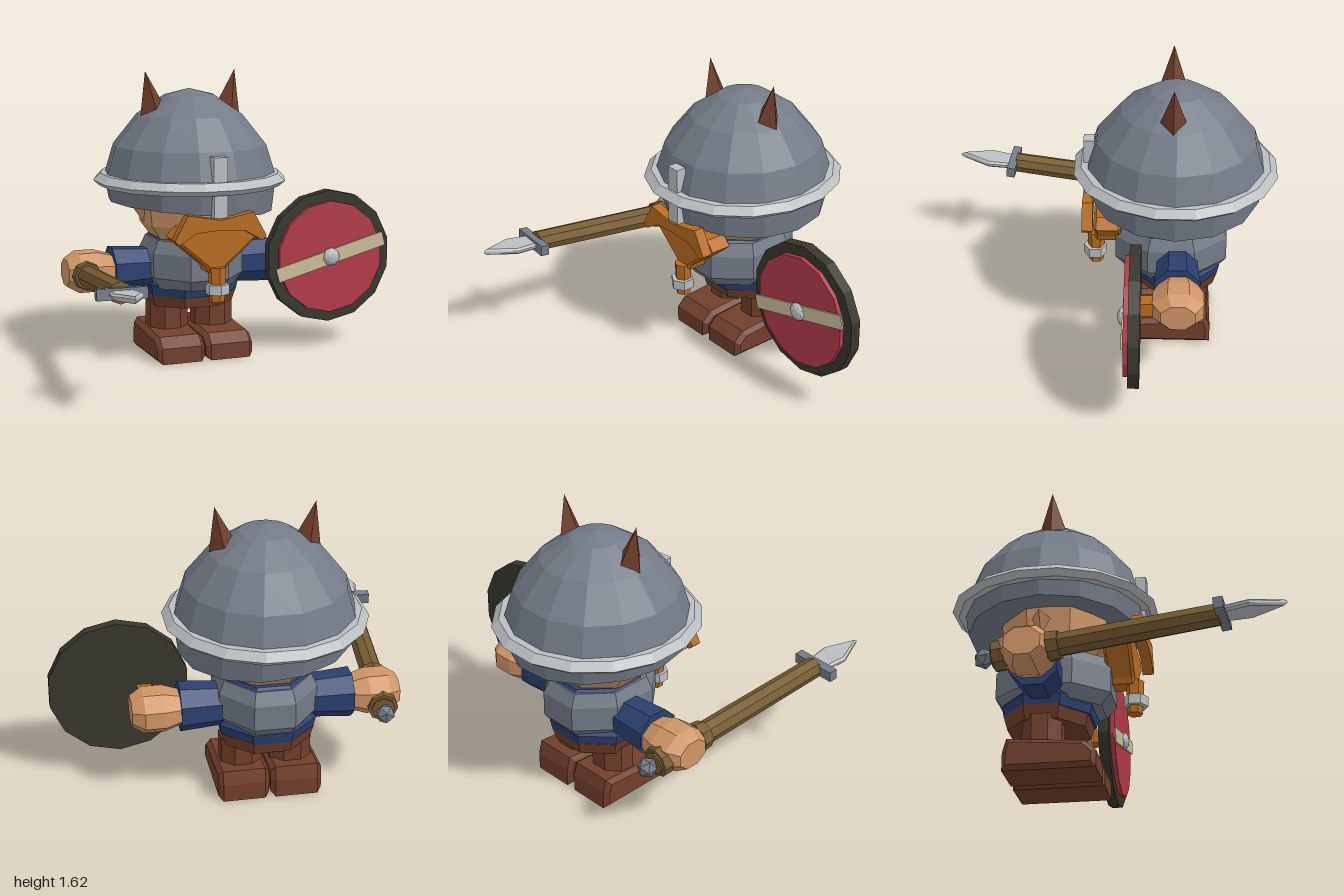
import * as THREE from 'three';

const mat = (name, color) => Object.assign(new THREE.MeshStandardMaterial({ color, flatShading: true }), { name });
const M = {
  skin: mat('skin', 0xcf9566), steel: mat('steel', 0x737b87), silver: mat('silver', 0xb9bec0),
  navy: mat('navy cloth', 0x2a4070), leather: mat('brown leather', 0x713f2b), orange: mat('orange hair', 0xb86c20),
  dark: mat('dark wood', 0x37372f), red: mat('red paint', 0xb23b49), wood: mat('wood', 0x775c32),
  cream: mat('cream paint', 0xcbbe99),
};

function add(parent, name, geometry, material, x = 0, y = 0, z = 0) {
  const m = new THREE.Mesh(geometry, material);
  m.name = name;
  m.position.set(x, y, z);
  parent.add(m);
  return m;
}

// Faceted solid of revolution; profile runs bottom to top as [radius, y]
function turned(profile, sides, sx = 1, sz = 1) {
  const g = new THREE.LatheGeometry(profile.map(p => new THREE.Vector2(...p)), sides, Math.PI / sides);
  return g.scale(sx, 1, sz);
}

// Flat outline extruded towards +z
function slab(points, depth, bevel = 0) {
  const shape = new THREE.Shape(points.map(p => new THREE.Vector2(...p)));
  return new THREE.ExtrudeGeometry(shape, {
    depth: depth - 2 * bevel, bevelEnabled: bevel > 0, bevelSegments: 1,
    bevelSize: bevel, bevelThickness: bevel, bevelOffset: -bevel,
  }).translate(0, 0, bevel);
}

// Mirror the right half of an outline across x = 0
const mirrored = half => [...half, ...half.filter(p => p[0] > 0).reverse().map(([x, y]) => [-x, y])];

function addHelmet(body) {
  const dome = turned([[0, 0.95], [0.44, 0.86], [0.465, 0.86], [0.49, 1.02], [0.435, 1.2], [0.3, 1.37],
    [0.14, 1.48], [0, 1.515]], 14, 1, 1.02);
  // the lower edge hangs lower on one side
  const p = dome.attributes.position;
  for (let i = 0; i < p.count; i++) if (p.getY(i) < 0.9) p.setY(i, 0.855 - 0.08 * p.getX(i));
  add(body, 'helmetDome', dome, M.steel, 0, 0, -0.365);

  const brim = turned([[0.47, 0.975], [0.52, 0.975], [0.555, 1.005], [0.515, 1.045], [0.47, 1.045]], 16, 0.985, 1.025);
  add(body, 'helmetBrim', brim, M.silver, 0, 0, -0.365);
  add(body, 'noseGuard', new THREE.BoxGeometry(0.08, 0.33, 0.06), M.silver, 0, 1.015, 0.112);

  for (const s of [-1, 1]) {
    const horn = add(body, 'horn', new THREE.ConeGeometry(0.085, 0.26, 4), M.leather, s * 0.24, 1.49, -0.345);
    horn.rotation.z = -s * 0.2;
  }
}

function addHead(body) {
  const head = turned([[0, 0.67], [0.23, 0.68], [0.29, 0.76], [0.31, 0.95], [0, 0.96]], 8, 1, 1.02);
  add(body, 'head', head, M.skin, 0, 0, -0.35);
  for (const s of [-1, 1]) {
    const ear = add(body, 'ear', new THREE.ConeGeometry(0.08, 0.12, 4), M.skin, s * 0.29, 0.85, -0.39);
    ear.rotation.z = -s * 1.2;
  }
  // moustache in front, beard behind it, braided tip with a clasp
  const moustache = mirrored([[0, 0.785], [0.14, 0.775], [0.24, 0.715], [0.265, 0.74], [0.19, 0.875], [0, 0.84]]);
  add(body, 'moustache', slab(moustache, 0.06), M.orange, 0, 0, 0.085);
  const beard = mirrored([[0.05, 0.54], [0.06, 0.57], [0.2, 0.69], [0.25, 0.735], [0.2, 0.79], [0, 0.8]]);
  add(body, 'beard', slab(beard, 0.15, 0.015), M.orange, 0, 0, -0.07);
  add(body, 'beardTip', new THREE.CylinderGeometry(0.05, 0.042, 0.19, 6), M.orange, 0, 0.475, 0.075);
  add(body, 'beardClasp', new THREE.CylinderGeometry(0.066, 0.066, 0.055, 6), M.silver, 0, 0.45, 0.08);
}

function addTorso(body) {
  add(body, 'breastplate', turned([[0, 0.4], [0.24, 0.405], [0.288, 0.47], [0.288, 0.61], [0.255, 0.68], [0, 0.685]],
    8, 1, 1.17), M.steel, 0, 0, -0.35);
  add(body, 'collar', turned([[0, 0.67], [0.25, 0.67], [0.23, 0.695], [0, 0.7]], 8, 1, 1.1), M.navy, 0, 0, -0.37);
  add(body, 'shirtHem', turned([[0, 0.35], [0.27, 0.355], [0.285, 0.42], [0.25, 0.46]], 8, 1, 0.93), M.navy, 0, 0, -0.38);
  add(body, 'hips', turned([[0, 0.285], [0.25, 0.29], [0.275, 0.365], [0, 0.37]], 8, 1, 0.9), M.leather, 0, 0, -0.385);
}

function addLimbs(body) {
  for (const s of [-1, 1]) {
    // arm along x: sleeve, then a blunt fist
    const sleeve = new THREE.CylinderGeometry(0.136, 0.115, 0.29, 8).rotateY(Math.PI / 8).rotateZ(-s * Math.PI / 2);
    add(body, 'sleeve', sleeve, M.navy, s * 0.325, 0.505, -0.385);
    const fist = turned([[0, 0], [0.115, 0], [0.15, 0.09], [0.15, 0.2], [0.1, 0.265], [0, 0.265]], 8, 0.8, 1);
    add(body, 'fist', fist.rotateZ(-s * Math.PI / 2), M.skin, s * 0.465, 0.505, -0.39);

    // leg and boot
    const leg = new THREE.CylinderGeometry(0.122, 0.122, 0.19, 8).rotateY(Math.PI / 8).scale(1, 1, 0.94);
    add(body, 'leg', leg, M.leather, s * 0.135, 0.22, -0.39);
    const boot = slab([[-0.58, 0], [-0.09, 0], [-0.09, 0.09], [-0.15, 0.145], [-0.56, 0.175], [-0.58, 0.1]], 0.28, 0.025);
    add(body, 'boot', boot.translate(0, 0, -0.14).rotateY(-Math.PI / 2), M.leather, s * 0.144, 0, 0);
  }
}

function addShield(root) {
  const shield = new THREE.Group();
  shield.name = 'shield';
  shield.position.set(0.618, 0.54, -0.16);
  root.add(shield);
  const disc = (r, d) => new THREE.CylinderGeometry(r, r, d, 14).rotateX(Math.PI / 2);
  add(shield, 'shieldRim', disc(0.385, 0.06), M.dark);
  add(shield, 'shieldFace', disc(0.325, 0.04), M.red, 0, 0, 0.035);
  const band = add(shield, 'shieldBand', new THREE.BoxGeometry(0.69, 0.082, 0.009), M.cream, 0, 0, 0.06);
  band.rotation.z = 0.26;
  add(shield, 'shieldBoss', new THREE.IcosahedronGeometry(0.052, 1).scale(1, 1, 0.6), M.silver, 0, 0, 0.062);
  add(shield, 'shieldStrap', new THREE.BoxGeometry(0.08, 0.08, 0.14), M.orange, -0.138, -0.03, -0.07);
}

function addSpear(root) {
  // built along +z from the butt end, then aimed
  const spear = new THREE.Group();
  spear.name = 'spear';
  spear.position.set(-0.767, 0.475, -0.56);
  spear.lookAt(-0.767 - 0.078, 0.475 + 0.098, 0.44);
  root.add(spear);
  const rod = (rFront, rBack, len) => new THREE.CylinderGeometry(rFront, rBack, len, 8).rotateX(Math.PI / 2);
  add(spear, 'spearShaft', rod(0.059, 0.064, 1.16), M.wood, 0, 0, 0.58);
  add(spear, 'buttCollar', rod(0.082, 0.082, 0.06), M.wood, 0, 0, 0.04);
  add(spear, 'gripCollar', rod(0.075, 0.082, 0.06), M.wood, 0, 0, 0.32);
  add(spear, 'pommel', new THREE.IcosahedronGeometry(0.055, 0), M.steel, 0, 0, -0.045);
  add(spear, 'crossGuard', new THREE.BoxGeometry(0.262, 0.06, 0.05), M.steel, 0, 0, 1.175);
  const blade = slab(mirrored([[0.065, 1.19], [0.08, 1.32], [0, 1.497]]), 0.036, 0.012);
  add(spear, 'spearBlade', blade.rotateX(Math.PI / 2), M.silver, 0, 0.018, 0);
}

export function createModel() {
  const root = new THREE.Group();
  root.name = 'helmetedWarrior';
  const body = new THREE.Group();
  body.name = 'body';
  body.position.x = -0.15;
  root.add(body);
  addHelmet(body);
  addHead(body);
  addTorso(body);
  addLimbs(body);
  addShield(root);
  addSpear(root);
  return root;
}
